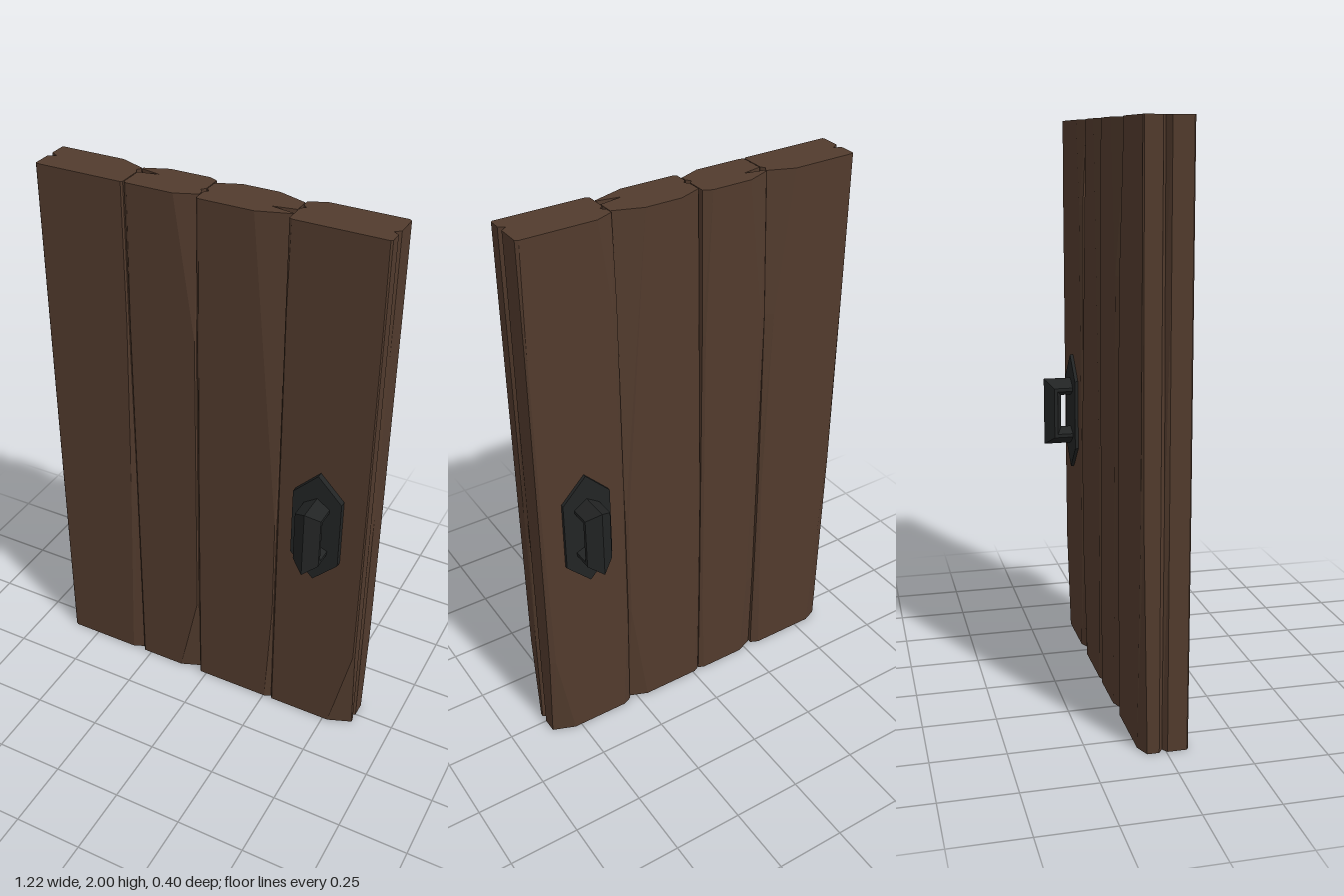
import * as THREE from 'three';

const wood = new THREE.MeshStandardMaterial({ color: 0x523b2d });
wood.name = 'dark wood';
const iron = new THREE.MeshStandardMaterial({ color: 0x222424 });
iron.name = 'black iron';

// Skins a list of matching rings with flat facets; optionally caps rings that lie level in y.
function loft(rings, capped) {
  const pos = [];
  const tri = (...pts) => pts.forEach((p) => pos.push(...p));
  for (let k = 0; k < rings.length - 1; k++) {
    const lo = rings[k], hi = rings[k + 1], n = lo.length;
    for (let i = 0; i < n; i++) {
      const j = (i + 1) % n;
      tri(lo[i], lo[j], hi[j]);
      tri(lo[i], hi[j], hi[i]);
    }
  }
  if (capped) {
    const cap = (ring, up) => {
      const flat = ring.map((p) => new THREE.Vector2(p[0], -p[2]));
      for (const [a, b, c] of THREE.ShapeUtils.triangulateShape(flat, [])) {
        if (up) tri(ring[a], ring[b], ring[c]);
        else tri(ring[a], ring[c], ring[b]);
      }
    };
    cap(rings[0], false);
    cap(rings[rings.length - 1], true);
  }
  const g = new THREE.BufferGeometry();
  g.setAttribute('position', new THREE.Float32BufferAttribute(pos, 3));
  g.computeVertexNormals();
  return g;
}

// One level of a plank: four hewn corners and a split in each side edge.
function plankRing(x0, x1, [y, fl, fr, br, bl, splitL, splitR], zL, zR) {
  const F = 0.075, B = -0.085, s = 0.014;
  const d = (w) => Math.min(0.36 * w + 0.003, 0.035);
  return [
    [x0, y, F - d(fl)], [x0 + fl, y, F],
    [x1 - fr, y, F], [x1, y, F - d(fr)],
    [x1, y, zR + s], [x1 - splitR, y, zR], [x1, y, zR - s],
    [x1, y, B + d(br)], [x1 - br, y, B],
    [x0 + bl, y, B], [x0, y, B + d(bl)],
    [x0, y, zL - s], [x0 + splitL, y, zL], [x0, y, zL + s],
  ];
}

// Levels: y, corner widths (front left, front right, back right, back left as seen in front view), split depths.
const planks = [
  { name: 'plankOuterRight', x: [-0.61, -0.287], z: [-0.01, -0.03], levels: [
    [0, 0.01, 0.045, 0.03, 0.05, 0.02, 0.02],
    [0.8, 0.004, 0.02, 0.01, 0.01, 0.01, 0.005],
    [1.5, 0.004, 0.006, 0.03, 0.004, 0.02, 0.005],
    [2, 0.004, 0.006, 0.09, 0.004, 0.025, 0.01]] },
  { name: 'plankInnerRight', x: [-0.284, -0.032], z: [-0.03, 0.01], levels: [
    [0, 0.006, 0.08, 0.02, 0.06, 0.01, 0.012],
    [0.35, 0.006, 0.005, 0.01, 0.04, 0.004, 0.01],
    [1.5, 0.005, 0.005, 0.01, 0.02, 0.03, 0.01],
    [2, 0.012, 0.075, 0.03, 0.08, 0.07, 0.012]] },
  { name: 'plankInnerLeft', x: [-0.029, 0.279], z: [0.01, 0.02], levels: [
    [0, 0.006, 0.025, 0.07, 0.02, 0.01, 0.03],
    [0.45, 0.005, 0.004, 0.01, 0.01, 0.006, 0.01],
    [0.85, 0.005, 0.006, 0.01, 0.01, 0.006, 0.01],
    [2, 0.01, 0.11, 0.1, 0.08, 0.012, 0.08]] },
  { name: 'plankOuterLeft', x: [0.281, 0.605], z: [-0.02, 0.015], levels: [
    [0, 0.006, 0.085, 0.08, 0.03, 0.01, 0.025],
    [0.36, 0.005, 0.006, 0.02, 0.01, 0.005, 0.012],
    [0.95, 0.005, 0.004, 0.01, 0.01, 0.005, 0.004],
    [1.7, 0.005, 0.004, 0.006, 0.02, 0.005, 0.012],
    [2, 0.01, 0.006, 0.01, 0.06, 0.015, 0.02]] },
];

// Pointed backing plate, centred on x = 0.
function plateGeometry() {
  const shape = new THREE.Shape([
    [0, 0.69], [0.088, 0.78], [0.088, 1.04], [0, 1.13], [-0.088, 1.04], [-0.088, 0.78],
  ].map(([x, y]) => new THREE.Vector2(x, y)));
  const g = new THREE.ExtrudeGeometry(shape, { depth: 0.04, bevelEnabled: false });
  return g.translate(0, 0, 0.057);
}

// Square pull with a ridged six-sided bar, mitred at its two corners.
function pullGeometry() {
  const section = [[0, 0], [-0.047, 0.032], [-0.047, 0.045], [0, 0.066], [0.047, 0.045], [0.047, 0.032]];
  const top = 1.04, bottom = 0.785, out = 0.2, root = 0.09;
  return loft([
    section.map(([x, t]) => [x, top - t, root]),
    section.map(([x, t]) => [x, top - t, out - t]),
    section.map(([x, t]) => [x, bottom + t, out - t]),
    section.map(([x, t]) => [x, bottom + t, root]),
  ], false);
}

function addMesh(parent, name, geometry, material) {
  const mesh = new THREE.Mesh(geometry, material);
  mesh.name = name;
  parent.add(mesh);
}

export function createModel() {
  const door = new THREE.Group();
  door.name = 'door';

  // Four rough planks
  for (const { name, x, z, levels } of planks) {
    const rings = levels.map((level) => plankRing(x[0], x[1], level, z[0], z[1]));
    addMesh(door, name, loft(rings, true), wood);
  }

  // A handle on each face
  const plate = plateGeometry(), pull = pullGeometry();
  for (const [name, turn] of [['frontHandle', 0], ['backHandle', Math.PI]]) {
    const handle = new THREE.Group();
    handle.name = name;
    handle.position.x = 0.433;
    handle.rotation.y = turn;
    addMesh(handle, 'handlePlate', plate, iron);
    addMesh(handle, 'handlePull', pull, iron);
    door.add(handle);
  }
  return door;
}
